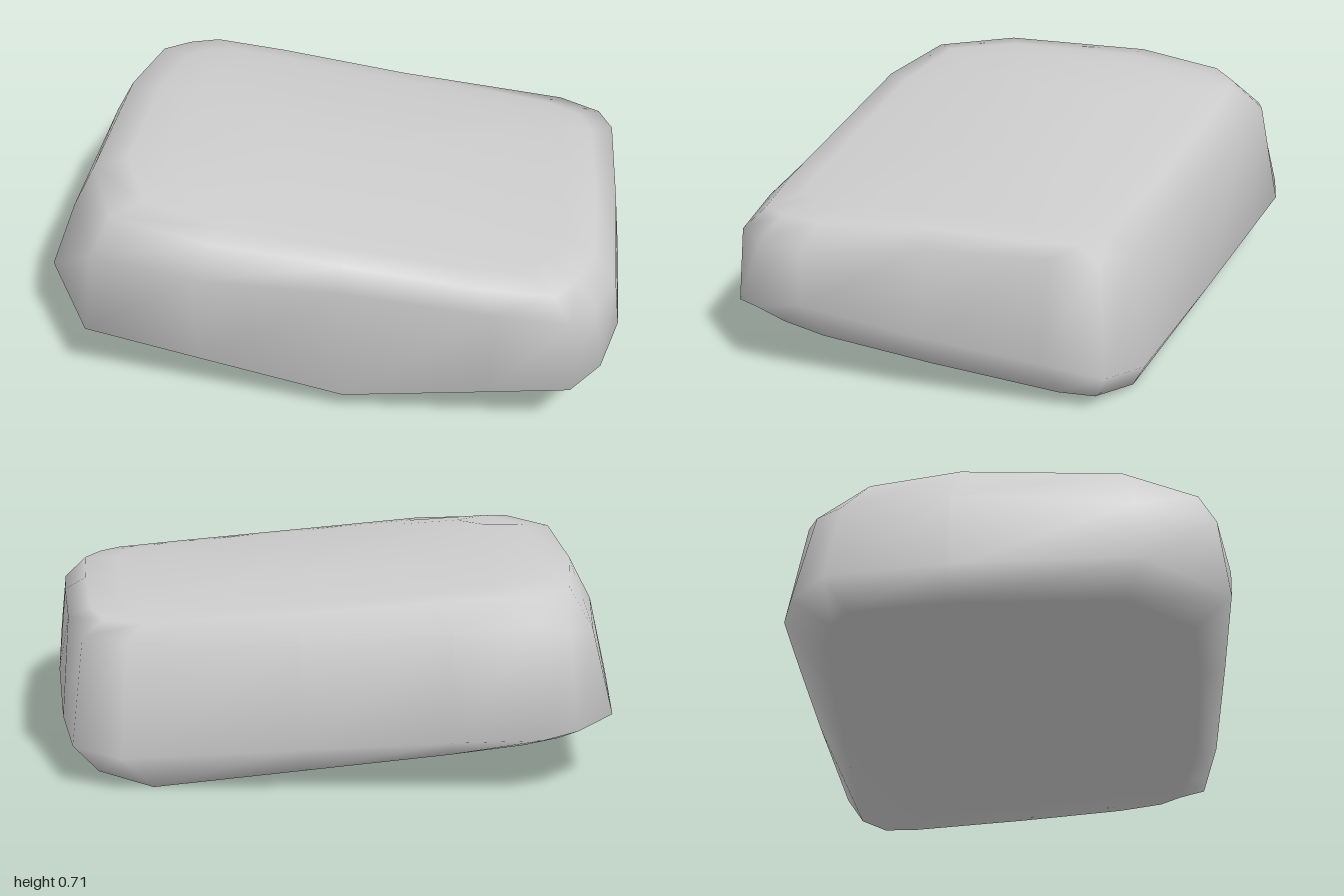
import * as THREE from 'three';

// Outlines running from the right side round the back, left and front
const foot = [ // [x, z]
  [0.91, 0.38], [0.89, 0], [0.84, -0.43], [0.79, -0.54], [0.6, -0.61], [0.1, -0.62],
  [-0.4, -0.63], [-0.65, -0.62], [-0.77, -0.59], [-0.85, -0.53], [-0.89, -0.2], [-0.88, 0.37],
  [-0.7, 0.6], [-0.4, 0.63], [0.12, 0.64], [0.55, 0.62], [0.8, 0.61], [0.88, 0.54],
];
const girth = [ // [x, y, z]
  [1, 0.3, 0.42], [0.97, 0.24, 0], [0.92, 0.19, -0.4], [0.87, 0.15, -0.6],
  [0.7, 0.13, -0.68], [0.1, 0.17, -0.72], [-0.4, 0.2, -0.745], [-0.7, 0.21, -0.755],
  [-0.82, 0.23, -0.72], [-0.95, 0.25, -0.6], [-0.985, 0.27, -0.2], [-1, 0.28, 0.42],
  [-0.8, 0.24, 0.715], [-0.4, 0.17, 0.715], [0.1, 0.08, 0.71], [0.6, 0.17, 0.71],
  [0.87, 0.22, 0.71], [0.96, 0.25, 0.6],
];
const shoulder = [ // [x, y, z]
  [0.98, 0.48, 0.42], [0.94, 0.54, 0], [0.89, 0.55, -0.41], [0.83, 0.52, -0.56],
  [0.68, 0.52, -0.63], [0.1, 0.53, -0.67], [-0.4, 0.56, -0.69], [-0.68, 0.57, -0.69],
  [-0.79, 0.55, -0.65], [-0.88, 0.54, -0.56], [-0.92, 0.55, -0.2], [-0.91, 0.53, 0.4],
  [-0.77, 0.53, 0.68], [-0.4, 0.53, 0.75], [0.1, 0.53, 0.735], [0.6, 0.5, 0.72],
  [0.86, 0.48, 0.69], [0.93, 0.48, 0.59],
];

// Gently crowned top, highest towards the left and falling faster at the back
const topY = (x, z) => 0.718 - 0.092 * Math.abs(x + 0.6) - (z < 0 ? 0.17 : 0.12) * z * z;

// Underside: two slopes meeting at a keel that crosses from front to back
function underY(x, z) {
  const keelX = 0.1 + 0.38 * (0.71 - z);
  const keelY = 0.08 - 0.057 * (0.71 - z);
  return keelY + (x < keelX ? 0.115 : 0.14) * Math.abs(x - keelX);
}

const topPoint = (x, z) => [x, topY(x, z), z];
const underPoint = (x, z) => [x, underY(x, z), z];
// Upper loops follow the shoulder, set further in along the back
const crown = (s) => shoulder.map(([x, , z]) => topPoint(x * s, z * s * (z < 0 ? 0.92 : 1)));
// Lower loops shrink towards a point on the keel
const keel = 0.37;
const under = (s) => foot.map(([x, z]) => underPoint(keel + (x - keel) * s, z * s));

function stoneGeometry() {
  const loops = [
    under(0.5), under(1), girth, shoulder,
    crown(0.92), crown(0.8), crown(0.65), crown(0.35),
  ];
  const n = foot.length;
  const points = loops.flat();
  const index = [];
  for (let r = 0; r < loops.length - 1; r++) {
    for (let i = 0; i < n; i++) {
      const a = r * n + i, b = r * n + (i + 1) % n;
      index.push(a, b, b + n, a, b + n, a + n);
    }
  }
  // Close the underside and the top
  const low = points.push(underPoint(keel, 0)) - 1;
  const high = points.push(topPoint(0, 0)) - 1;
  const last = (loops.length - 1) * n;
  for (let i = 0; i < n; i++) {
    const j = (i + 1) % n;
    index.push(low, j, i, high, last + i, last + j);
  }
  const geometry = new THREE.BufferGeometry();
  geometry.setAttribute('position', new THREE.Float32BufferAttribute(points.flat(), 3));
  geometry.setIndex(index);
  geometry.computeVertexNormals();
  return geometry;
}

export function createModel() {
  const model = new THREE.Group();
  model.name = 'rock';
  const stone = new THREE.Mesh(stoneGeometry(), new THREE.MeshStandardMaterial({ color: 0xcccccc }));
  stone.name = 'stone';
  model.add(stone);
  return model;
}
